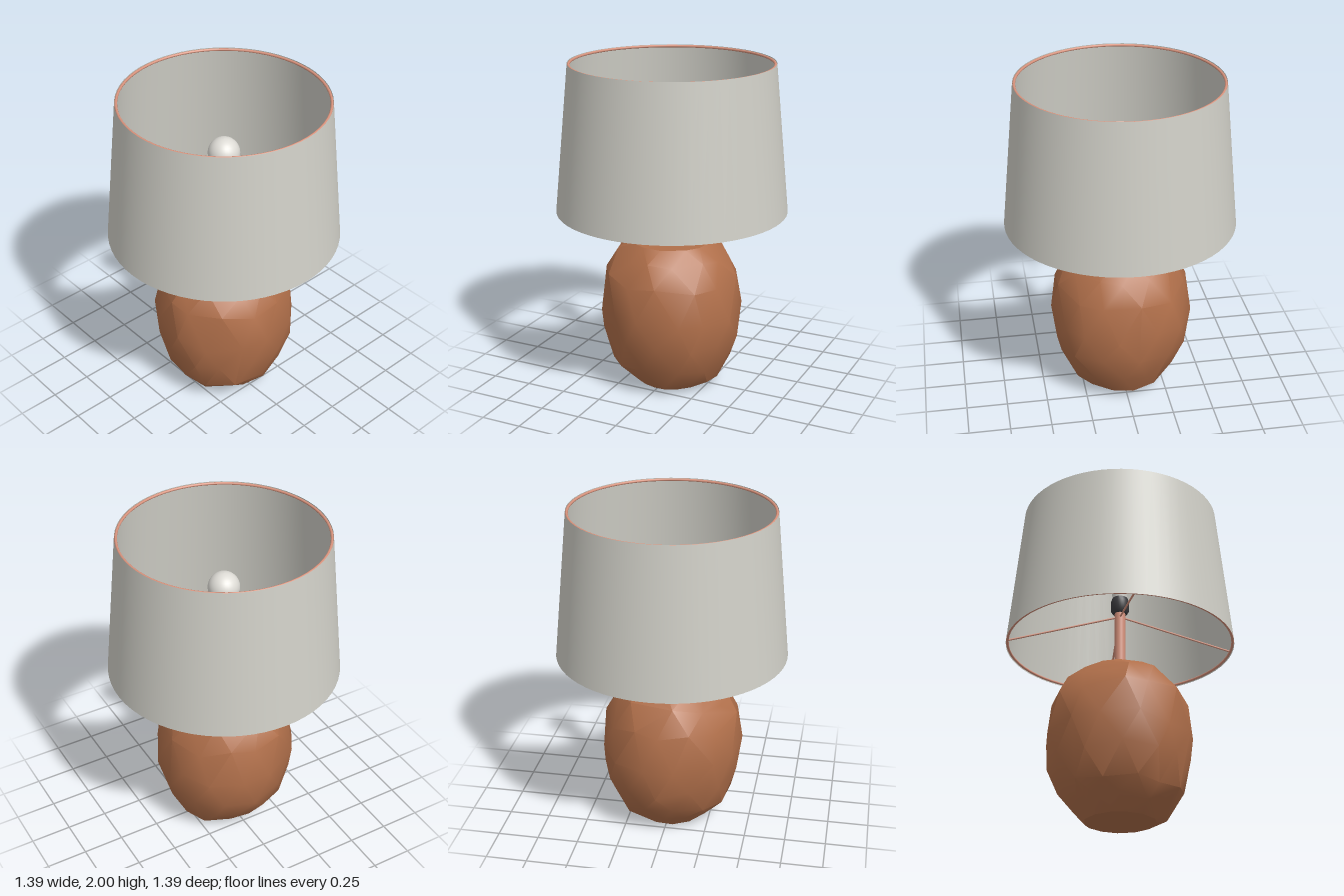
import * as THREE from 'three';
import { toCreasedNormals } from 'three/addons/utils/BufferGeometryUtils.js';
import { ConvexGeometry } from 'three/addons/geometries/ConvexGeometry.js';

const material = (name, color, side = THREE.FrontSide) => {
  const m = new THREE.MeshStandardMaterial({ color, side });
  m.name = name;
  return m;
};

// small seeded generator for the hand-carved irregularity
function seeded(seed) {
  return () => {
    seed = (seed * 16807) % 2147483647;
    return seed / 2147483647;
  };
}

const lathe = (points, segments) =>
  new THREE.LatheGeometry(points.map(([r, y]) => new THREE.Vector2(r, y)), segments);

// carved body: jittered rings wrapped in a convex hull, giving uneven facets
function carvedBody() {
  const rand = seeded(41);
  const rings = [
    [0.21, 0], [0.295, 0.07], [0.37, 0.17], [0.42, 0.33], [0.435, 0.5],
    [0.405, 0.71], [0.33, 0.84], [0.245, 0.918]
  ];
  const points = [];
  rings.forEach(([radius, y], i) => {
    const end = i === 0 || i === rings.length - 1;
    const count = 13;
    for (let k = 0; k < count; k++) {
      const a = ((k + (i % 2) * 0.5 + (rand() - 0.5) * 0.35) / count) * Math.PI * 2;
      const r = radius * (1 + (rand() - 0.5) * 0.03);
      const h = end ? y : y + (rand() - 0.5) * 0.06;
      points.push(new THREE.Vector3(Math.sin(a) * r, h, Math.cos(a) * r));
    }
  });
  return toCreasedNormals(new ConvexGeometry(points), 0.52);
}

export function createModel() {
  const group = new THREE.Group();
  group.name = 'tableLamp';

  const clay = material('terracotta', 0xb06f4a);
  const copper = material('copper', 0xd9947e);
  const fabric = material('shadeFabric', 0xd0cfc7, THREE.DoubleSide);
  const black = material('blackSocket', 0x3c3c3f);
  const glass = material('bulbGlass', 0xdedcd6);

  const add = (name, geometry, mat, y = 0) => {
    const mesh = new THREE.Mesh(geometry, mat);
    mesh.name = name;
    mesh.position.y = y;
    group.add(mesh);
    return mesh;
  };

  add('body', carvedBody(), clay);

  // stem and its foot collar
  add('collar', new THREE.CylinderGeometry(0.045, 0.05, 0.022, 32), copper, 0.928);
  add('stem', new THREE.CylinderGeometry(0.033, 0.033, 0.45, 32), copper, 1.13);

  // socket with softened edges
  add('socket', toCreasedNormals(lathe([
    [0, 1.34], [0.044, 1.34], [0.056, 1.36], [0.056, 1.42], [0.048, 1.445], [0, 1.445]
  ], 32), 0.9), black);

  // bulb: flared neck running into a round globe
  const bulb = [[0.045, 1.44], [0.05, 1.48], [0.062, 1.54], [0.078, 1.59]];
  for (let i = 0; i <= 12; i++) {
    const a = THREE.MathUtils.lerp(-0.42, Math.PI / 2, i / 12);
    bulb.push([Math.max(0, Math.cos(a) * 0.094), 1.645 + Math.sin(a) * 0.094]);
  }
  add('bulb', lathe(bulb, 32), glass);

  // open tapered shade with a wire ring inside each rim
  add('shade', new THREE.CylinderGeometry(0.61, 0.697, 0.89, 64, 1, true), fabric, 1.555);
  for (const [name, r, y] of [['topRing', 0.601, 1.991], ['bottomRing', 0.687, 1.12]]) {
    add(name, new THREE.TorusGeometry(r, 0.008, 8, 64).rotateX(Math.PI / 2), copper, y);
  }

  // four sloping spokes from the stem to the bottom ring
  for (let i = 0; i < 4; i++) {
    const path = new THREE.LineCurve3(
      new THREE.Vector3(0, 1.32, 0), new THREE.Vector3(0.687, 1.12, 0));
    const spoke = add('spoke', new THREE.TubeGeometry(path, 1, 0.006, 8), copper);
    spoke.rotation.y = (i * Math.PI) / 2;
  }

  return group;
}
